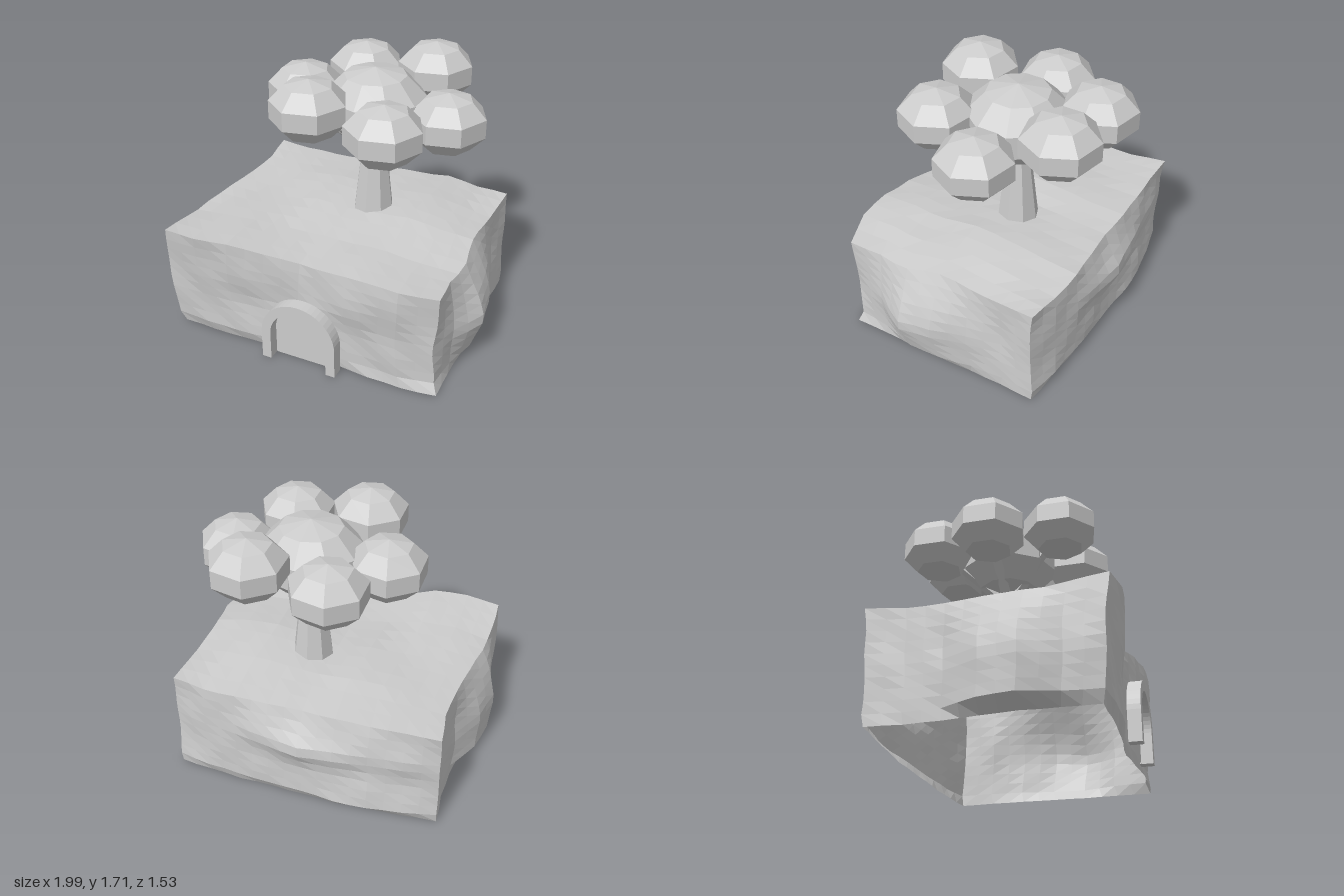
import * as THREE from 'three';
import { ParametricGeometry } from 'three/addons/geometries/ParametricGeometry.js';

const stone = new THREE.MeshStandardMaterial({ color: 0xcccccc, flatShading: true, side: THREE.DoubleSide });
stone.name = 'pale grey';

// Bilinear lookup in a small table, with uneven row positions
function sample(rows, stops, u, v) {
  let j = 0;
  while (j < stops.length - 2 && v > stops[j + 1]) j++;
  const t = (v - stops[j]) / (stops[j + 1] - stops[j]);
  const along = (row) => {
    const p = u * (row.length - 1), i = Math.min(Math.floor(p), row.length - 2);
    return row[i] + (row[i + 1] - row[i]) * (p - i);
  };
  return along(rows[j]) * (1 - t) + along(rows[j + 1]) * t;
}
const ripple = (u, v, k) => 0.006 * Math.sin(u * 23 + k) * Math.cos(v * 11 + u * 9 + k * 2);
const lerp = THREE.MathUtils.lerp;

// Wall reliefs: rows run from the ground up, columns along the wall
const levels = [0, 0.1, 0.45, 0.65, 0.85, 1];
const frontRelief = [
  [0.67, 0.67, 0.67, 0.66, 0.64, 0.66, 0.68, 0.69, 0.66],
  [0.69, 0.70, 0.70, 0.68, 0.65, 0.67, 0.67, 0.68, 0.64],
  [0.70, 0.71, 0.71, 0.67, 0.64, 0.68, 0.69, 0.69, 0.64],
  [0.71, 0.73, 0.73, 0.69, 0.65, 0.70, 0.72, 0.71, 0.64],
  [0.72, 0.75, 0.74, 0.69, 0.65, 0.70, 0.73, 0.72, 0.64],
  [0.73, 0.765, 0.745, 0.69, 0.64, 0.69, 0.72, 0.72, 0.64]];
const backRelief = [
  [-0.62, -0.64, -0.66, -0.67, -0.66, -0.66, -0.66, -0.64, -0.62],
  [-0.64, -0.68, -0.72, -0.73, -0.70, -0.70, -0.69, -0.67, -0.63],
  [-0.63, -0.66, -0.69, -0.70, -0.71, -0.70, -0.69, -0.66, -0.61],
  [-0.65, -0.68, -0.71, -0.75, -0.77, -0.74, -0.70, -0.66, -0.61],
  [-0.65, -0.66, -0.68, -0.69, -0.69, -0.69, -0.68, -0.66, -0.61],
  [-0.66, -0.66, -0.66, -0.66, -0.65, -0.66, -0.67, -0.65, -0.62]];
const leftRelief = [
  [-0.84, -0.82, -0.83, -0.85, -0.87, -0.86, -0.85],
  [-0.84, -0.82, -0.83, -0.94, -0.975, -0.91, -0.88],
  [-0.84, -0.82, -0.84, -0.95, -1, -0.92, -0.91],
  [-0.84, -0.81, -0.83, -0.93, -0.97, -0.92, -0.91],
  [-0.84, -0.81, -0.83, -0.89, -0.94, -0.91, -0.91],
  [-0.84, -0.81, -0.82, -0.85, -0.89, -0.90, -0.90]];
const rightRelief = [
  [0.85, 0.85, 0.85, 0.86, 0.87, 0.86, 0.87],
  [0.85, 0.85, 0.87, 0.91, 0.92, 0.86, 0.84],
  [0.85, 0.84, 0.89, 0.97, 1, 0.88, 0.83],
  [0.85, 0.83, 0.88, 0.94, 0.965, 0.87, 0.84],
  [0.85, 0.83, 0.85, 0.88, 0.90, 0.86, 0.85],
  [0.85, 0.84, 0.83, 0.83, 0.86, 0.84, 0.86]];
// Ground heights: rows from back to front
const depths = [0, 0.27, 0.48, 0.74, 1];
const heights = [
  [0.70, 0.69, 0.69, 0.69, 0.68, 0.69, 0.70, 0.68, 0.69],
  [0.69, 0.69, 0.71, 0.73, 0.71, 0.72, 0.74, 0.72, 0.68],
  [0.68, 0.69, 0.70, 0.72, 0.70, 0.73, 0.75, 0.73, 0.70],
  [0.67, 0.70, 0.71, 0.69, 0.67, 0.69, 0.71, 0.69, 0.65],
  [0.71, 0.73, 0.73, 0.69, 0.66, 0.69, 0.71, 0.70, 0.67]];

const front = (u, v) => sample(frontRelief, levels, u, v) + ripple(u, v, 1);
const back = (u, v) => sample(backRelief, levels, u, v) + ripple(u, v, 2);
const left = (w, v) => sample(leftRelief, levels, w, v) + ripple(w, v, 3) * 0.7;
const right = (w, v) => sample(rightRelief, levels, w, v) + ripple(w, v, 4) * 0.7;
const height = (u, w) => sample(heights, depths, u, w) + ripple(u, w, 5) * 0.7;

// Every point of the mound follows from u (across), w (back to front), v (up)
function moundPoint(u, w, v, target) {
  const x = lerp(left(w, v), right(w, v), u);
  target.set(x, v * height(u, w), lerp(back(u, v), front(u, v), w));
}

function buildMound() {
  const mound = new THREE.Group();
  mound.name = 'mound';
  const sheets = {
    frontWall: [16, 10, (a, b, t) => moundPoint(a, 1, b, t)],
    backWall: [16, 10, (a, b, t) => moundPoint(1 - a, 0, b, t)],
    leftWall: [12, 10, (a, b, t) => moundPoint(0, a, b, t)],
    rightWall: [12, 10, (a, b, t) => moundPoint(1, 1 - a, b, t)],
    ground: [16, 12, (a, b, t) => moundPoint(a, 1 - b, 1, t)],
  };
  for (const [name, [cols, rows, rule]] of Object.entries(sheets)) {
    add(mound, name, new ParametricGeometry(rule, cols, rows));
  }
  return mound;
}

function add(parent, name, geometry) {
  const mesh = new THREE.Mesh(geometry, stone);
  mesh.name = name;
  parent.add(mesh);
  return mesh;
}

// Round-topped doorway: a raised frame around a flat panel
function buildDoorway() {
  const doorway = new THREE.Group();
  doorway.name = 'doorway';
  doorway.position.set(0.018, 0, 0.69);
  const spring = 0.19, inner = 0.185, outer = 0.245;
  const frame = new THREE.Shape();
  frame.moveTo(-outer, 0);
  frame.lineTo(-inner, 0);
  frame.lineTo(-inner, spring);
  frame.absarc(0, spring, inner, Math.PI, 0, true);
  frame.lineTo(inner, 0);
  frame.lineTo(outer, 0);
  frame.lineTo(outer, spring);
  frame.absarc(0, spring, outer, 0, Math.PI, false);
  frame.closePath();
  add(doorway, 'doorFrame', new THREE.ExtrudeGeometry(frame, { depth: 0.08, bevelEnabled: false, curveSegments: 12 }));

  const panel = new THREE.Shape();
  panel.moveTo(-inner, 0);
  panel.lineTo(inner, 0);
  panel.lineTo(inner, spring);
  panel.absarc(0, spring, inner, 0, Math.PI, false);
  panel.closePath();
  add(doorway, 'doorPanel', new THREE.ShapeGeometry(panel, 12)).position.z = 0.008;
  return doorway;
}

function buildTree() {
  const tree = new THREE.Group();
  tree.name = 'tree';
  tree.position.set(0.124, 0, -0.097);

  add(tree, 'trunk', new THREE.CylinderGeometry(0.072, 0.134, 0.55, 8)).position.y = 0.925;
  const crown = add(tree, 'crown', new THREE.SphereGeometry(0.325, 10, 5));
  crown.rotation.y = Math.PI / 2;
  crown.scale.y = 0.74;
  crown.position.y = 1.41;

  // Outer leaf balls, each carried by a slim branch
  const balls = [[-0.237, 1.498, 0.405], [0.232, 1.43, 0.405], [-0.237, 1.45, -0.403],
    [0.232, 1.522, -0.403], [-0.466, 1.415, 0], [0.467, 1.383, 0]];
  const up = new THREE.Vector3(0, 1, 0);
  for (const [x, y, z] of balls) {
    const ball = add(tree, 'leafBall', new THREE.SphereGeometry(0.246, 7, 5));
    ball.rotation.y = Math.PI;
    ball.scale.y = 0.76;
    ball.position.set(x, y, z);

    const end = new THREE.Vector3(x, y, z);
    const start = new THREE.Vector3(x, 0, z).setLength(0.04).setY(1.14);
    const along = end.clone().sub(start);
    const branch = add(tree, 'branch', new THREE.CylinderGeometry(0.025, 0.035, along.length(), 4));
    branch.position.copy(start).add(end).multiplyScalar(0.5);
    branch.quaternion.setFromUnitVectors(up, along.normalize());
  }
  return tree;
}

export function createModel() {
  const model = new THREE.Group();
  model.name = 'treeHouseMound';
  model.add(buildMound(), buildDoorway(), buildTree());
  return model;
}
